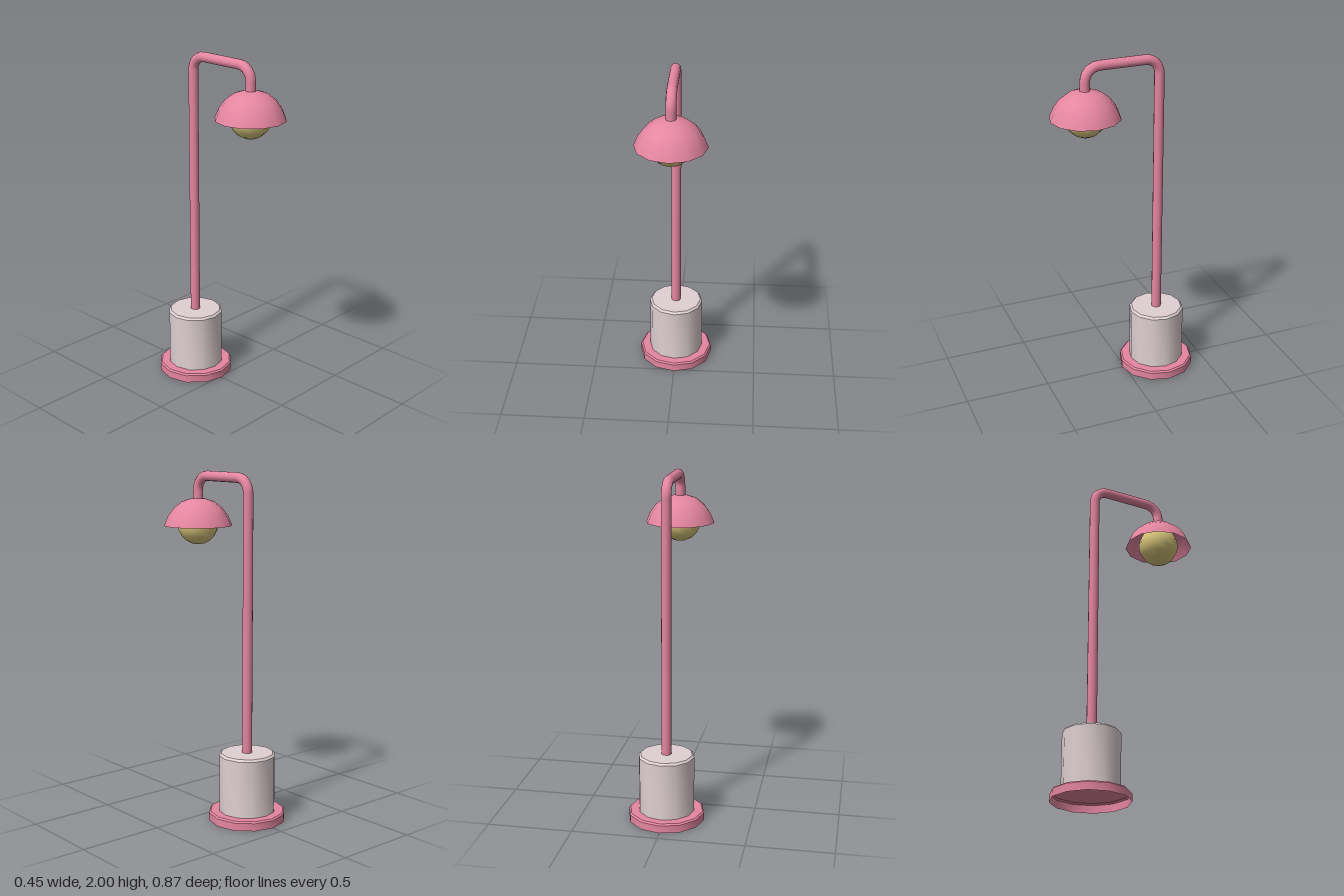
import * as THREE from 'three';
import { toCreasedNormals } from 'three/addons/utils/BufferGeometryUtils.js';

const SIDES = 12;
const POST_Z = -0.21, LAMP_Z = 0.23; // axes of the post and of the lamp head
const ARM_Y = 1.971, PIPE_R = 0.029, BEND_R = 0.085;

export function createModel() {
  const pink = new THREE.MeshStandardMaterial({ name: 'pink enamel', color: 0xe586a1, side: THREE.DoubleSide });
  const grey = new THREE.MeshStandardMaterial({ name: 'pale grey', color: 0xdfd0d3 });
  const yellow = new THREE.MeshStandardMaterial({ name: 'warm bulb', color: 0xdac77c });

  const model = new THREE.Group();
  model.name = 'lamp';
  const add = (name, geometry, material, y, z, parent = model) => {
    const mesh = new THREE.Mesh(geometry, material);
    mesh.name = name;
    mesh.position.set(0, y, z);
    parent.add(mesh);
    return mesh;
  };
  const lathe = (points) =>
    new THREE.LatheGeometry(points.map(([r, y]) => new THREE.Vector2(r, y)), SIDES);

  // Base: shallow bevelled dish, open underneath
  add('base', toCreasedNormals(lathe([[0.224, 0], [0.224, 0.045], [0.215, 0.054], [0, 0.054]]), 0.65),
    pink, 0, POST_Z);

  // Drum around the foot of the post
  add('drum', toCreasedNormals(lathe([[0.164, 0.054], [0.164, 0.388], [0.152, 0.4], [0, 0.4]]), 0.65),
    grey, 0, POST_Z);

  // Pipe: straight runs joined by quarter bends
  const pipe = new THREE.Group();
  pipe.name = 'pipe';
  model.add(pipe);
  const bendY = ARM_Y - BEND_R;
  const straight = (length) => new THREE.CylinderGeometry(PIPE_R, PIPE_R, length, SIDES, 1, true);
  const vertical = (name, y0, z) =>
    add(name, straight(bendY - y0), pink, (bendY + y0) / 2, z, pipe);
  const bend = (name, z, facing) =>
    add(name, new THREE.TorusGeometry(BEND_R, PIPE_R, SIDES, 6, Math.PI / 2).rotateY(-facing * Math.PI / 2),
      pink, bendY, z - facing * BEND_R, pipe);
  vertical('post', 0.39, POST_Z);
  vertical('drop', 1.82, LAMP_Z);
  bend('rearBend', POST_Z, -1);
  bend('frontBend', LAMP_Z, 1);
  add('arm', straight(LAMP_Z - POST_Z - 2 * BEND_R).rotateX(Math.PI / 2),
    pink, ARM_Y, (LAMP_Z + POST_Z) / 2, pipe);

  // Shade: thin open dome
  add('shade', lathe([[0.202, 1.68], [0.18, 1.733], [0.145, 1.781], [0.097, 1.819], [0.04, 1.838], [0, 1.841]]),
    pink, 0, LAMP_Z);

  // Bulb
  add('bulb', new THREE.SphereGeometry(0.121, SIDES, 10), yellow, 1.691, LAMP_Z);

  return model;
}
